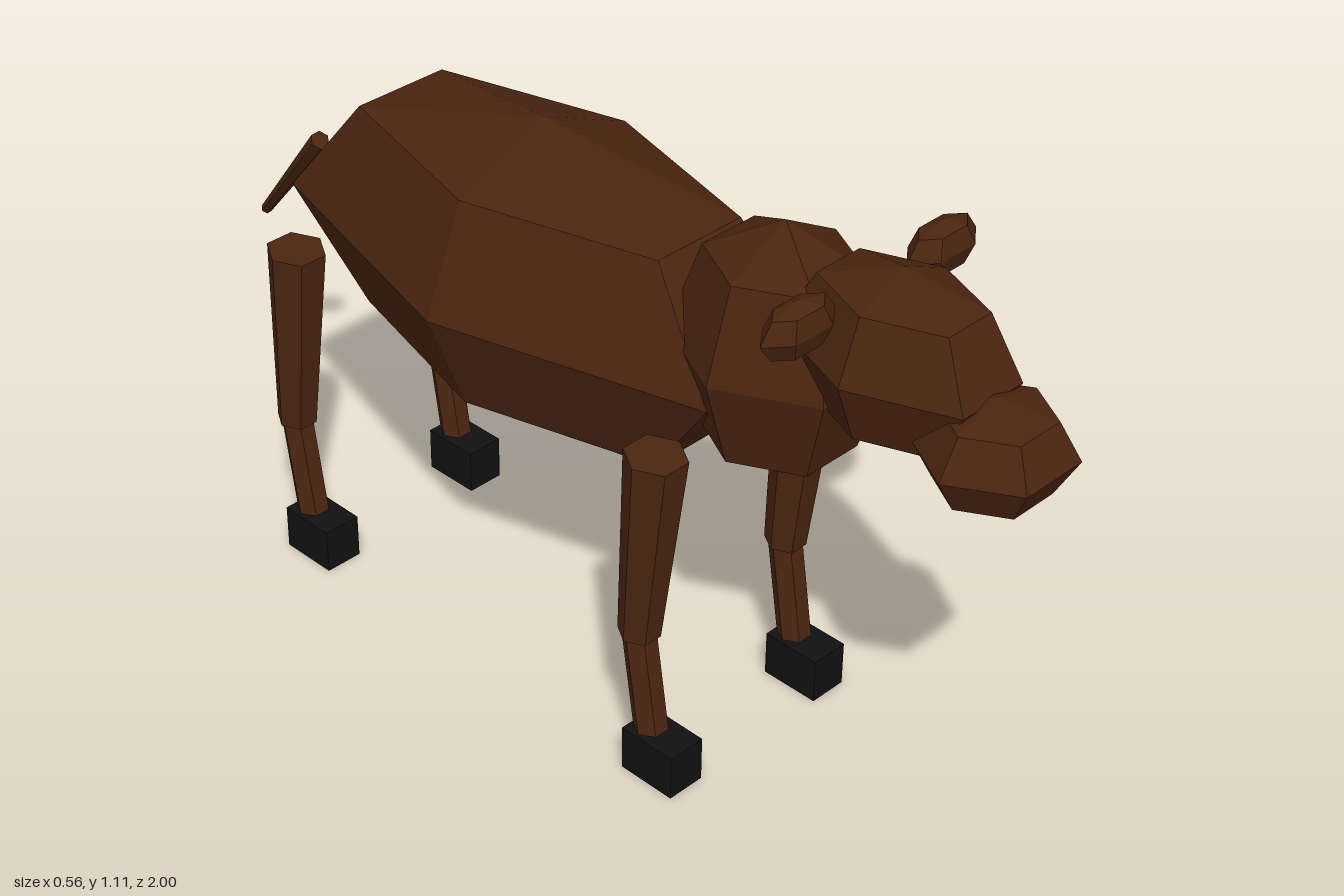
import * as THREE from 'three';

const hide = new THREE.MeshStandardMaterial({ color: 0x4a2510, flatShading: true });
hide.name = 'brownHide';
const horn = new THREE.MeshStandardMaterial({ color: 0x111111, flatShading: true });
horn.name = 'blackHoof';

export function createModel() {
  const model = new THREE.Group();
  model.name = 'fourLeggedAnimal';

  const add = (name, geometry, material, parent = model) => {
    const mesh = new THREE.Mesh(geometry, material);
    mesh.name = name;
    parent.add(mesh);
    return mesh;
  };

  // Faceted six-sided ellipsoid: centre and radii
  const blob = (name, centre, radii) => {
    const geometry = new THREE.SphereGeometry(1, 6, 4).scale(...radii);
    add(name, geometry, hide).position.set(...centre);
  };

  // Tapered six-sided limb between two points, corners pointing sideways
  const limb = (name, from, to, rFrom, rTo, parent) => {
    const a = new THREE.Vector3(...from);
    const b = new THREE.Vector3(...to);
    const axis = a.clone().sub(b);
    const geometry = new THREE.CylinderGeometry(rFrom, rTo, axis.length(), 6).rotateY(Math.PI / 2);
    const mesh = add(name, geometry, hide, parent);
    mesh.position.copy(a).add(b).multiplyScalar(0.5);
    mesh.quaternion.setFromUnitVectors(new THREE.Vector3(0, 1, 0), axis.normalize());
  };

  // Torso, neck and head
  blob('body', [0, 0.77, -0.118], [0.28, 0.29, 0.606]);
  blob('neck', [0, 0.85, 0.438], [0.177, 0.24, 0.2]);
  blob('head', [0, 0.95, 0.684], [0.145, 0.16, 0.218]);
  blob('muzzle', [0, 0.867, 0.883], [0.135, 0.096, 0.135]);

  for (const [side, s] of [['left', 1], ['right', -1]]) {
    blob(side + 'Ear', [s * 0.171, 1.047, 0.62], [0.086, 0.05, 0.04]);

    // Legs: z of hip, knee, ankle and hoof
    const legs = [['Front', 0.34, 0.306, 0.338, 0.365], ['Hind', -0.583, -0.614, -0.582, -0.557]];
    for (const [end, hip, knee, ankle, hoof] of legs) {
      const leg = new THREE.Group();
      leg.name = side + end + 'Leg';
      model.add(leg);
      const x = s * 0.188;
      limb('upperLeg', [x, 0.675, hip], [x, 0.285, knee], 0.057, 0.039, leg);
      limb('lowerLeg', [x, 0.285, knee], [x, 0.085, ankle], 0.032, 0.032, leg);
      add('hoof', new THREE.BoxGeometry(0.078, 0.09, 0.12), horn, leg).position.set(x, 0.045, hoof);
    }
  }

  // Tail hanging back and slightly to one side
  limb('tail', [0, 0.772, -0.73], [0.061, 0.49, -0.99], 0.019, 0.011);

  return model;
}
